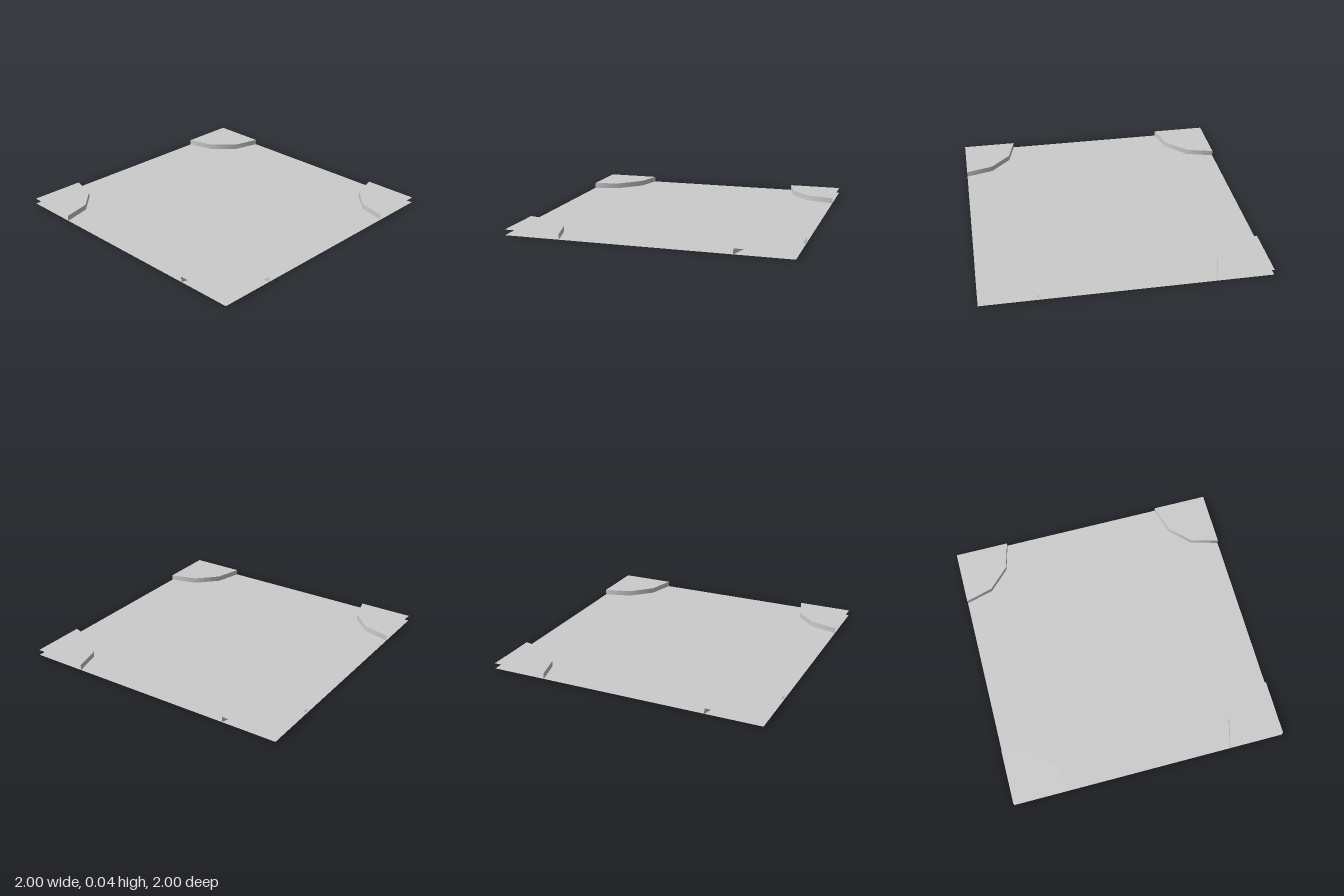
import * as THREE from 'three';

const RADIUS = 0.4, HEIGHT = 0.04, SEGMENTS = 3;

export function createModel() {
  const group = new THREE.Group();
  group.name = 'floorTile';
  const grey = new THREE.MeshStandardMaterial({ color: 0xcccccc, side: THREE.DoubleSide });
  grey.name = 'grey';

  // Thin square floor
  const floor = new THREE.Mesh(new THREE.PlaneGeometry(2, 2).rotateX(-Math.PI / 2), grey);
  floor.name = 'floor';
  group.add(floor);

  // Quarter-round raised step, open on the outer edges
  const wallGeometry = new THREE.CylinderGeometry(
    RADIUS, RADIUS, HEIGHT, SEGMENTS, 1, true, Math.PI, Math.PI / 2
  ).translate(1, HEIGHT / 2, 1);
  const topGeometry = new THREE.CircleGeometry(RADIUS, SEGMENTS, Math.PI / 2, Math.PI / 2)
    .rotateX(-Math.PI / 2)
    .translate(1, HEIGHT, 1);

  // One step in each corner
  const corners = ['frontLeft', 'backLeft', 'backRight', 'frontRight'];
  corners.forEach((corner, i) => {
    const step = new THREE.Group();
    step.name = corner + 'Corner';
    const wall = new THREE.Mesh(wallGeometry, grey);
    wall.name = 'cornerWall';
    const top = new THREE.Mesh(topGeometry, grey);
    top.name = 'cornerTop';
    step.add(wall, top);
    step.rotation.y = i * Math.PI / 2;
    group.add(step);
  });

  return group;
}
